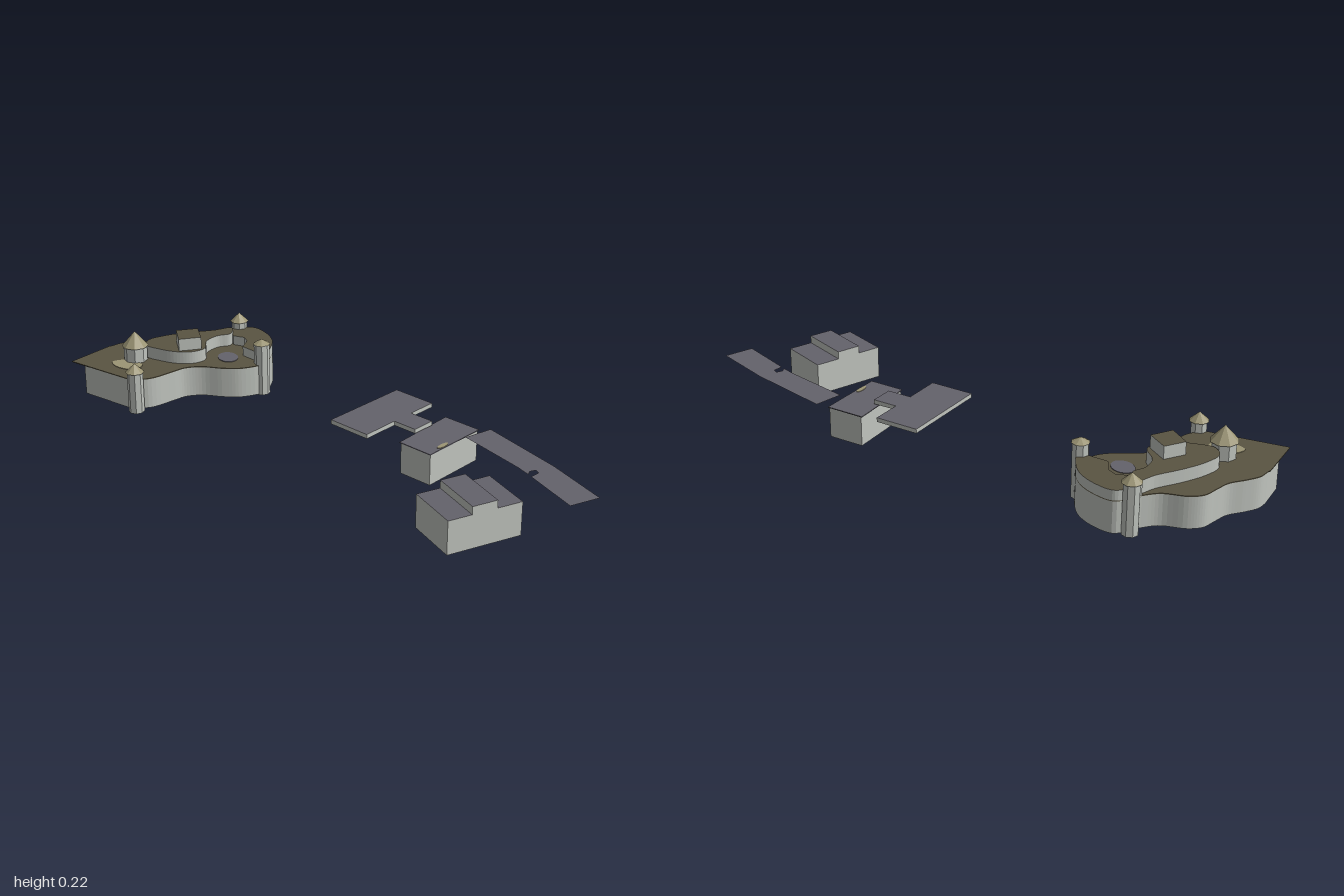
import * as THREE from 'three';

const mat = (name, color, side = THREE.FrontSide) => {
  const m = new THREE.MeshStandardMaterial({ color, side });
  m.name = name;
  return m;
};

export function createModel() {
  const group = new THREE.Group();
  const wall = mat('pale stone', 0xc0c4be);
  const olive = mat('olive roof', 0x5a5442);
  const slate = mat('slate roof', 0x64626b);
  const straw = mat('straw', 0x9c9575);
  const sheet = mat('slate sheet', 0x64626b, THREE.DoubleSide);

  const add = (name, geo, m) => {
    const mesh = new THREE.Mesh(geo, m);
    mesh.name = name;
    group.add(mesh);
    return mesh;
  };
  // Outline points are [x, z] pairs
  const toShape = (pts) => new THREE.Shape(pts.map(([x, z]) => new THREE.Vector2(x, -z)));
  const smooth = (pts, n = 60, closed = false) =>
    new THREE.CatmullRomCurve3(pts.map(([x, z]) => new THREE.Vector3(x, 0, z)), closed)
      .getPoints(n).map((p) => [p.x, p.z]);
  // Upright prism with separate cap and side colours
  const prism = (name, pts, y0, y1, cap, side = wall) => {
    const geo = new THREE.ExtrudeGeometry(toShape(pts), { depth: y1 - y0, bevelEnabled: false });
    geo.rotateX(-Math.PI / 2).translate(0, y0, 0);
    return add(name, geo, [cap, side]);
  };
  const ellipse = (x, z, a, b, turn) => Array.from({ length: 20 }, (_, i) => {
    const t = (i / 20) * Math.PI * 2, u = a * Math.cos(t), v = b * Math.sin(t);
    return [x + u * Math.cos(turn) - v * Math.sin(turn), z + u * Math.sin(turn) + v * Math.cos(turn)];
  });

  // Winding fortress: east side, rounded back and west side
  const east = [[-0.72, 0.251], [-0.672, 0.2], [-0.655, 0.107], [-0.647, 0.053], [-0.612, 0.005],
    [-0.543, -0.037], [-0.495, -0.08], [-0.463, -0.16]];
  const back = [[-0.463, -0.16], [-0.484, -0.214], [-0.532, -0.278], [-0.602, -0.316],
    [-0.676, -0.323], [-0.73, -0.251]];
  const west = [[-0.73, -0.251], [-0.773, -0.209], [-0.853, -0.182], [-0.89, -0.15], [-0.906, -0.096],
    [-0.922, -0.043], [-0.96, 0.005], [-0.988, 0.048], [-0.995, 0.09]];
  const ring = smooth([...east, ...back.slice(1), ...west.slice(1)], 110);
  prism('fortressWalls', [[-0.935, 0.272], ...ring, [-0.988, 0.2]], 0.003, 0.112, olive);
  prism('fortressRoof', [[-0.992, 0.283], ...ring, [-0.999, 0.1]], 0.112, 0.115, olive, olive);

  // Raised back wing
  prism('backWing', [...smooth(back, 40), [-0.7, -0.235], [-0.67, -0.215], [-0.628, -0.23],
    [-0.6, -0.215], [-0.572, -0.165]], 0.115, 0.15, olive);

  // Raised winding terrace
  prism('terrace', smooth([[-0.715, -0.25], [-0.745, -0.19], [-0.8, -0.11], [-0.842, -0.03],
    [-0.855, 0.035], [-0.82, 0.075], [-0.765, 0.068], [-0.7, 0.045], [-0.655, 0.005],
    [-0.645, -0.045], [-0.69, -0.1], [-0.695, -0.16], [-0.675, -0.205]], 70, true),
  0.115, 0.16, olive);

  // Square keep
  prism('keep', [[-0.72, -0.085], [-0.65, -0.035], [-0.695, 0.033], [-0.765, -0.02]], 0.155, 0.205, olive);

  // Courtyard patches, seen on the roof and underneath
  const pond = ellipse(-0.6, -0.117, 0.045, 0.036, 0.5);
  const yard = smooth([[-0.878, 0.19], [-0.86, 0.15], [-0.82, 0.13], [-0.775, 0.14], [-0.765, 0.17],
    [-0.79, 0.2], [-0.84, 0.208]], 28, true);
  for (const [y0, y1] of [[0.001, 0.004], [0.114, 0.117]]) {
    prism('pond', pond, y0, y1, slate, slate);
    prism('yard', yard, y0, y1, straw, straw);
  }

  // Turrets: x, z, body radius, foot, eaves, tip, roof radius
  const turrets = [
    [-0.835, 0.116, 0.042, 0.11, 0.17, 0.224, 0.048],
    [-0.692, 0.247, 0.028, 0, 0.15, 0.181, 0.034],
    [-0.474, -0.163, 0.028, 0, 0.19, 0.207, 0.031],
    [-0.715, -0.292, 0.028, 0, 0.175, 0.207, 0.034],
  ];
  for (const [x, z, r, y0, y1, y2, rr] of turrets) {
    const body = new THREE.CylinderGeometry(r, r, y1 - y0, 8).toNonIndexed();
    body.computeVertexNormals();
    add('turret', body, wall).position.set(x, (y0 + y1) / 2, z);
    const cone = new THREE.ConeGeometry(rr, y2 - y1, 8).toNonIndexed();
    cone.computeVertexNormals();
    add('turretRoof', cone, straw).position.set(x, (y1 + y2) / 2, z);
  }

  // Raised slab with a connecting arm
  prism('slabHall', [[0.067, -0.267], [0.225, -0.262], [0.222, -0.155], [0.312, -0.153], [0.31, -0.067],
    [0.221, -0.07], [0.219, 0.066], [0.059, 0.06]], 0.123, 0.138, slate);

  // Block under the arm with its thin roof
  prism('middleBlock', [[0.304, -0.24], [0.435, -0.237], [0.432, 0.005], [0.308, 0.001]], 0.005, 0.113, slate);
  prism('middleRoof', [[0.297, -0.245], [0.438, -0.241], [0.434, 0.008], [0.304, 0.003]], 0.113, 0.116, slate, slate);
  prism('roofPatch', ellipse(0.424, -0.068, 0.009, 0.026, 0), 0.116, 0.118, straw, straw);

  // Turned block with a raised middle band
  const a = [0.666, 0.008], u = [0.174, 0.068], v = [-0.092, 0.243];
  const band = (s, e) => [[0, s], [1, s], [1, e], [0, e]]
    .map(([p, q]) => [a[0] + u[0] * p + v[0] * q, a[1] + u[1] * p + v[1] * q]);
  prism('turnedBlock', band(0, 1), 0.008, 0.123, slate);
  prism('raisedBand', band(0.34, 0.68), 0.123, 0.15, slate);

  // Long bent canopy with a small notch
  const canopy = new THREE.ShapeGeometry(toShape([[0.473, -0.257], [0.778, -0.176], [0.998, -0.096],
    [0.96, 0.005], [0.765, -0.071], [0.768, -0.108], [0.752, -0.117], [0.742, -0.096], [0.75, -0.077],
    [0.7, -0.094], [0.449, -0.155]]));
  canopy.rotateX(-Math.PI / 2);
  add('canopy', canopy, sheet).position.y = 0.123;

  return group;
}
